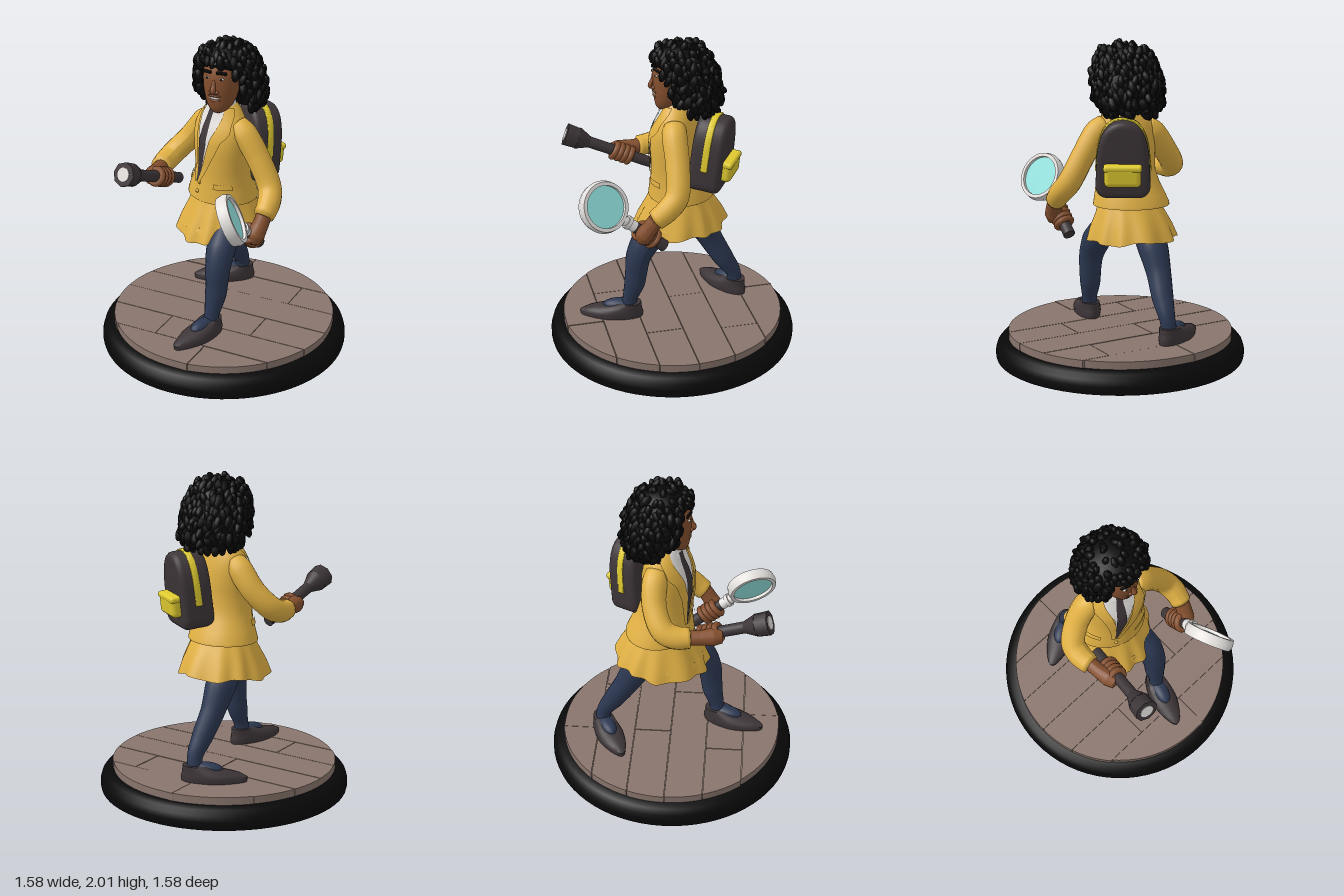
import * as THREE from 'three';
import { mergeGeometries, toCreasedNormals } from 'three/addons/utils/BufferGeometryUtils.js';
import { RoundedBoxGeometry } from 'three/addons/geometries/RoundedBoxGeometry.js';

const V = (x, y, z) => new THREE.Vector3(x, y, z);
const mat = (name, color, side = THREE.FrontSide) => {
  const m = new THREE.MeshStandardMaterial({ color, side });
  m.name = name;
  return m;
};

// Repeatable random numbers
let seed = 7;
const rnd = () => (seed = (seed * 16807) % 2147483647) / 2147483647;

// Linear sample of horizontal sections [y, cx, cz, rx, rz] at height y
function sectionAt(secs, y) {
  let i = 0;
  while (i < secs.length - 2 && y > secs[i + 1][0]) i++;
  const t = THREE.MathUtils.clamp((y - secs[i][0]) / (secs[i + 1][0] - secs[i][0]), 0, 1);
  return secs[i].map((v, k) => v + (secs[i + 1][k] - v) * t);
}
// Point on an elliptical section, a = 0 at the front
function ringPoint([y, cx, cz, rx, rz], a, yaw = 0, off = 0) {
  const x = (rx + off) * Math.sin(a), z = (rz + off) * Math.cos(a);
  return V(cx + x * Math.cos(yaw) + z * Math.sin(yaw), y, cz - x * Math.sin(yaw) + z * Math.cos(yaw));
}
// Surface through a grid of points
function gridGeometry(rows, wrap) {
  const n = rows[0].length, pos = [], idx = [];
  rows.forEach(r => r.forEach(p => pos.push(p.x, p.y, p.z)));
  for (let i = 0; i < rows.length - 1; i++)
    for (let j = 0; j < (wrap ? n : n - 1); j++) {
      const a = i * n + j, b = i * n + (j + 1) % n;
      idx.push(a, b, b + n, a, b + n, a + n);
    }
  const g = new THREE.BufferGeometry();
  g.setAttribute('position', new THREE.Float32BufferAttribute(pos, 3));
  g.setIndex(idx);
  g.computeVertexNormals();
  return g;
}
// Body through horizontal sections, optionally capped and warped
function loft(secs, { seg = 32, yaw = 0, cap = true, warp = null } = {}) {
  const end = s => [s[0], s[1], s[2], 0.0005, 0.0005];
  const all = cap ? [end(secs[0]), ...secs, end(secs[secs.length - 1])] : secs;
  const rows = all.map((s, i) => Array.from({ length: seg }, (_, j) => {
    const a = j / seg * Math.PI * 2, p = ringPoint(s, a, yaw);
    return warp ? warp(p, a, i / (all.length - 1), s) : p;
  }));
  const g = gridGeometry(rows, true);
  return cap ? toCreasedNormals(g, 1) : g;
}
// Tapered limb along points [x, y, z, radius]
function limb(pts, n = 32, seg = 16) {
  const curve = new THREE.CatmullRomCurve3(pts.map(p => V(p[0], p[1], p[2])));
  const g = new THREE.TubeGeometry(curve, n, 1, seg, false), pos = g.attributes.position, p = V();
  for (let i = 0; i <= n; i++) {
    const c = curve.getPointAt(i / n), t = curve.getUtoTmapping(i / n) * (pts.length - 1);
    const k = Math.min(Math.floor(t), pts.length - 2);
    const r = i === 0 || i === n ? 0.001 : THREE.MathUtils.lerp(pts[k][3], pts[k + 1][3], t - k);
    for (let j = 0; j <= seg; j++) {
      const q = i * (seg + 1) + j;
      p.fromBufferAttribute(pos, q).sub(c).multiplyScalar(r).add(c);
      pos.setXYZ(q, p.x, p.y, p.z);
    }
  }
  g.computeVertexNormals();
  return g;
}
const ball = (x, y, z, rx, ry, rz, w = 20, h = 14) => new THREE.SphereGeometry(1, w, h).scale(rx, ry, rz).translate(x, y, z);
const rod = (rTop, rBot, y0, y1, seg = 24) => new THREE.CylinderGeometry(rTop, rBot, y1 - y0, seg).translate(0, (y0 + y1) / 2, 0);

export function createModel() {
  const model = new THREE.Group();
  const D = THREE.DoubleSide;
  const skin = mat('skin', 0x85502f), yellow = mat('jacket yellow', 0xe0b044, D), bagYellow = mat('bag yellow', 0xe0cb30),
    black = mat('black', 0x080808), charcoal = mat('charcoal', 0x3d3538, D), navy = mat('navy', 0x2c3852),
    wood = mat('wood', 0x89756d), white = mat('white', 0xe2dfdc, D), teal = mat('lens teal', 0x92e4e0, D);
  const add = (name, geo, m, parent = model) => {
    const mesh = new THREE.Mesh(geo, m);
    mesh.name = name;
    parent.add(mesh);
    return mesh;
  };
  const group = name => { const g = new THREE.Group(); g.name = name; model.add(g); return g; };

  // Round base
  const rim = [[0, 0], [0.785, 0], [0.79, 0.02], [0.79, 0.05], [0.78, 0.085], [0.755, 0.115], [0.72, 0.13], [0, 0.13]];
  add('base', toCreasedNormals(new THREE.LatheGeometry(rim.map(p => new THREE.Vector2(...p)), 72), 0.7), black);
  add('floorDisc', new THREE.CylinderGeometry(0.7, 0.7, 0.04, 64).translate(0, 0.15, 0), wood);

  // Floor planks, each split by one joint
  const joints = [0.1, -0.25, 0.3, -0.1, 0.35, -0.1], planks = [];
  joints.forEach((joint, i) => {
    const z0 = -0.71 + i * 0.2367 + 0.002, z1 = z0 + 0.2327;
    for (const s of [-1, 1]) {
      const R = 0.705 + rnd() * 0.008, shape = new THREE.Shape(), edge = joint + s * 0.002;
      const phi = z => Math.asin(THREE.MathUtils.clamp(z / R, -1, 1));
      shape.moveTo(edge, R * Math.sin(phi(z0)));
      for (let k = 0; k <= 14; k++) {
        const f = phi(z0) + (phi(z1) - phi(z0)) * k / 14;
        shape.lineTo(s * Math.max(R * Math.cos(f), s * edge + 0.001), R * Math.sin(f));
      }
      shape.lineTo(edge, R * Math.sin(phi(z1)));
      planks.push(new THREE.ExtrudeGeometry(shape, { depth: 0.046 + rnd() * 0.003, bevelEnabled: false }).rotateX(-Math.PI / 2).translate(0, 0.131, 0));
    }
  });
  add('planks', mergeGeometries(planks), wood);

  // Legs and shoes
  add('leftLeg', limb([[0.04, 0.9, 0.03, 0.07], [0.065, 0.79, 0.115, 0.085], [0.07, 0.71, 0.185, 0.092], [0.075, 0.61, 0.236, 0.079], [0.075, 0.5, 0.252, 0.07], [0.07, 0.42, 0.262, 0.067], [0.06, 0.31, 0.29, 0.047], [0.05, 0.22, 0.3, 0.048]]), navy);
  add('rightLeg', limb([[-0.1, 0.9, -0.1, 0.08], [-0.115, 0.78, -0.165, 0.095], [-0.115, 0.71, -0.215, 0.095], [-0.11, 0.58, -0.285, 0.077], [-0.09, 0.44, -0.365, 0.067], [-0.08, 0.32, -0.437, 0.048], [-0.092, 0.22, -0.445, 0.048]]), navy);
  const shoeSecs = [[0, 0, 0, 0.08, 0.2], [0.03, 0, 0, 0.086, 0.205], [0.05, 0, -0.015, 0.082, 0.182], [0.07, 0, -0.065, 0.072, 0.13], [0.1, 0, -0.11, 0.061, 0.082]];
  for (const [name, x, z, yaw] of [['leftShoe', 0.02, 0.405, -0.3], ['rightShoe', -0.19, -0.39, -1.06]]) {
    const foot = group(name);
    add('shoe', loft(shoeSecs, { warp: p => V(p.x * (1 - 1.6 * Math.max(0, p.z - 0.02)), p.y, p.z) }), charcoal, foot);
    add('instep', ball(0, 0.07, -0.055, 0.053, 0.047, 0.11), navy, foot);
    foot.position.set(x, 0.178, z);
    foot.rotation.y = yaw;
  }

  // Pleated skirt with a lining
  const skirtSecs = [[0.765, -0.045, -0.06, 0.275, 0.295], [0.85, -0.04, -0.06, 0.252, 0.262], [0.94, -0.035, -0.06, 0.215, 0.212], [1.04, -0.03, -0.05, 0.18, 0.16]];
  add('skirt', loft(skirtSecs, {
    seg: 96, cap: false, warp: (p, a, t, s) => {
      const k = 1 + 0.045 * (1 - t) * Math.sin(11 * a + Math.sin(3 * a));
      return V(s[1] + (p.x - s[1]) * k, p.y + (1 - t) * (0.022 * -Math.cos(a) + 0.01 * Math.sin(5 * a)), s[2] + (p.z - s[2]) * k);
    }
  }), yellow);
  add('skirtLining', loft([[0.805, -0.043, -0.06, 0.255, 0.27], [0.83, -0.043, -0.06, 0.245, 0.258]]), yellow);

  // Jacket body, turned a little to the right
  const yaw = -0.42;
  const jacketSecs = [[0.985, -0.04, -0.07, 0.238, 0.207], [1.0, -0.04, -0.07, 0.236, 0.205], [1.06, -0.035, -0.06, 0.218, 0.188], [1.12, -0.03, -0.045, 0.198, 0.168], [1.2, -0.025, -0.03, 0.183, 0.152],
    [1.3, -0.02, -0.025, 0.186, 0.154], [1.4, -0.02, -0.025, 0.192, 0.147], [1.47, -0.02, -0.03, 0.184, 0.127], [1.52, -0.02, -0.035, 0.158, 0.108], [1.57, -0.015, -0.035, 0.115, 0.092], [1.605, -0.015, -0.03, 0.08, 0.078]];
  add('jacket', loft(jacketSecs, { seg: 48, yaw, cap: false }), yellow);
  add('jacketHem', loft([[0.985, -0.04, -0.07, 0.2, 0.18], [0.986, -0.04, -0.07, 0.238, 0.207]], { seg: 48, yaw, cap: false }), yellow);
  // Thin panel lying on the jacket, rows are [y, angle, angle] from the top down
  const panel = (name, rows, off, m) => {
    const up = rows.slice().reverse(), n = 18, y0 = up[0][0], y1 = up[up.length - 1][0];
    add(name, gridGeometry(Array.from({ length: n + 1 }, (_, i) => {
      const r = sectionAt(up, y0 + (y1 - y0) * i / n), s = sectionAt(jacketSecs, r[0]);
      return Array.from({ length: 9 }, (_, j) => ringPoint(s, r[1] + (r[2] - r[1]) * j / 8, yaw, off));
    })), m);
  };
  panel('shirt', [[1.6, -1, 1], [1.5, -0.5, 0.55], [1.4, -0.27, 0.25], [1.12, -0.17, -0.11]], 0.005, white);
  panel('tie', [[1.575, -0.18, 0.18], [1.54, -0.13, 0.13], [1.35, -0.2, 0.12], [1.16, -0.24, -0.05], [1.1, -0.16, -0.14]], 0.01, charcoal);
  panel('leftLapel', [[1.595, 0.85, 1.5], [1.5, 0.5, 1.0], [1.44, 0.34, 0.95], [1.42, 0.29, 0.72], [1.3, 0.13, 0.45], [1.1, -0.13, -0.04]], 0.013, yellow);
  panel('rightLapel', [[1.595, -1.5, -0.85], [1.5, -0.95, -0.47], [1.44, -0.88, -0.34], [1.42, -0.68, -0.31], [1.3, -0.5, -0.22], [1.1, -0.26, -0.17]], 0.013, yellow);
  panel('leftPocketFlap', [[1.12, 0.5, 1.1], [1.085, 0.48, 1.12]], 0.009, yellow);
  panel('rightPocketFlap', [[1.12, -1.1, -0.6], [1.085, -1.12, -0.58]], 0.009, yellow);
  for (const y of [1.1, 1.04]) {
    const p = ringPoint(sectionAt(jacketSecs, y), -0.08, yaw);
    add('button', ball(p.x, p.y, p.z, 0.012, 0.012, 0.012, 10, 8), yellow);
  }

  // Sleeves and wrists
  add('rightSleeve', limb([[-0.12, 1.48, -0.075, 0.065], [-0.18, 1.43, -0.09, 0.078], [-0.275, 1.31, -0.085, 0.074], [-0.365, 1.205, -0.025, 0.073], [-0.38, 1.175, 0.05, 0.071], [-0.37, 1.17, 0.15, 0.062]]), yellow);
  add('leftSleeve', limb([[0.08, 1.49, 0.005, 0.065], [0.15, 1.44, 0.02, 0.078], [0.245, 1.3, 0.025, 0.074], [0.335, 1.13, 0.05, 0.074], [0.36, 1.06, 0.115, 0.071], [0.355, 0.99, 0.2, 0.062]]), yellow);
  add('rightWrist', limb([[-0.37, 1.17, 0.12, 0.045], [-0.365, 1.17, 0.19, 0.045], [-0.35, 1.17, 0.27, 0.055], [-0.34, 1.17, 0.33, 0.04]]), skin);
  add('leftWrist', limb([[0.36, 1.01, 0.18, 0.048], [0.35, 0.95, 0.22, 0.05], [0.335, 0.9, 0.25, 0.058], [0.325, 0.85, 0.26, 0.04]]), skin);

  // Tool frame: y along the tool, fingers curl round it
  const place = (g, origin, yAxis, zHint) => {
    const y = yAxis.normalize(), x = V().crossVectors(y, zHint).normalize();
    g.quaternion.setFromRotationMatrix(new THREE.Matrix4().makeBasis(x, y, V().crossVectors(x, y)));
    g.position.copy(origin);
  };
  const fingers = (g, y0, r) => add('fingers', mergeGeometries([0, 1, 2, 3].map(i =>
    new THREE.TorusGeometry(r, 0.02, 8, 20).rotateX(Math.PI / 2 + 0.12).translate(0, y0 + i * 0.033, 0))), skin, g);

  // Torch
  const torch = group('torch');
  place(torch, V(-0.275, 1.09, 0.08), V(-0.085, 0.21, 0.52), V(0, 1, 0));
  add('torchHandle', rod(0.036, 0.034, 0, 0.43), charcoal, torch);
  add('torchNeck', rod(0.07, 0.036, 0.41, 0.49), charcoal, torch);
  add('torchHead', rod(0.075, 0.07, 0.49, 0.57, 8), charcoal, torch);
  add('torchLens', rod(0.042, 0.042, 0.565, 0.574), white, torch);
  fingers(torch, 0.14, 0.045);

  // Magnifying glass
  const glass = group('magnifier');
  place(glass, V(0.292, 1.095, 0.488), V(-0.01, 0.64, 0.77), V(0.85, 0.4, -0.35));
  const ring = [[0.128, -0.035], [0.15, -0.035], [0.159, 0], [0.15, 0.035], [0.128, 0.035], [0.128, -0.035]];
  add('lensRing', toCreasedNormals(new THREE.LatheGeometry(ring.map(p => new THREE.Vector2(...p)), 48).rotateX(Math.PI / 2), 0.7), white, glass);
  add('lens', new THREE.CylinderGeometry(0.13, 0.13, 0.03, 40).rotateX(Math.PI / 2), teal, glass);
  add('ferrule', rod(0.03, 0.036, -0.24, -0.15), white, glass);
  add('ferruleCollar', rod(0.042, 0.042, -0.2, -0.175), white, glass);
  add('magnifierHandle', rod(0.033, 0.038, -0.48, -0.24), charcoal, glass);
  fingers(glass, -0.385, 0.048);

  // Backpack
  const pack = group('backpack');
  pack.position.set(0.1, 1.08, -0.21);
  pack.rotation.set(0.1, 2.58, 0, 'YXZ');
  const arch = (w, y0, h, r) => {
    const s = new THREE.Shape();
    s.moveTo(-w + r, y0).lineTo(w - r, y0).quadraticCurveTo(w, y0, w, y0 + r).lineTo(w * 0.94, h * 0.58);
    s.bezierCurveTo(w * 0.85, h * 0.86, w * 0.55, h, 0, h).bezierCurveTo(-w * 0.55, h, -w * 0.85, h * 0.86, -w * 0.94, h * 0.58);
    s.lineTo(-w, y0 + r).quadraticCurveTo(-w, y0, -w + r, y0);
    return s;
  };
  const slab = (shape, depth, bevel) => toCreasedNormals(new THREE.ExtrudeGeometry(shape, { depth, bevelSize: bevel, bevelThickness: bevel, bevelSegments: 4, curveSegments: 14 }).translate(0, 0, -depth / 2), 0.7);
  add('packBody', slab(arch(0.13, 0.035, 0.435, 0.04), 0.13, 0.035), charcoal, pack);
  add('packPiping', slab(arch(0.164, 0.155, 0.472, 0.01), 0.03, 0.006), bagYellow, pack);
  add('packPocket', new RoundedBoxGeometry(0.22, 0.13, 0.085, 4, 0.03).translate(0, 0.15, 0.113), bagYellow, pack);
  add('packPocketFlap', new RoundedBoxGeometry(0.23, 0.04, 0.088, 3, 0.018).translate(0, 0.2, 0.115), bagYellow, pack);

  // Neck, collar and head
  add('neck', new THREE.CylinderGeometry(0.058, 0.065, 0.16, 24).translate(-0.012, 1.58, -0.02), skin);
  add('collar', loft([[1.555, -0.018, -0.02, 0.1, 0.092], [1.625, -0.012, -0.025, 0.07, 0.068]], { cap: false, yaw: -0.2 }), white);
  add('head', loft([[1.572, -0.01, 0.055, 0.03, 0.03], [1.588, -0.01, 0.05, 0.055, 0.048], [1.62, -0.01, 0.03, 0.08, 0.076], [1.66, -0.01, 0.018, 0.097, 0.094], [1.71, -0.01, 0.012, 0.108, 0.105],
    [1.78, -0.01, 0.01, 0.113, 0.11], [1.85, -0.01, 0.002, 0.107, 0.107], [1.91, -0.01, -0.01, 0.08, 0.08]]), skin);
  add('nose', mergeGeometries([limb([[-0.01, 1.79, 0.108, 0.012], [-0.01, 1.755, 0.118, 0.013], [-0.01, 1.722, 0.13, 0.018], [-0.01, 1.708, 0.12, 0.014]], 16, 12),
    ball(-0.03, 1.714, 0.116, 0.013, 0.011, 0.014), ball(0.01, 1.714, 0.116, 0.013, 0.011, 0.014)]), skin);
  add('lips', mergeGeometries([ball(-0.01, 1.687, 0.107, 0.044, 0.008, 0.013), ball(-0.01, 1.658, 0.104, 0.036, 0.01, 0.013)]), skin);
  add('teeth', ball(-0.01, 1.673, 0.107, 0.036, 0.008, 0.01), white);
  for (const s of [-1, 1]) {
    const x = -0.01 + s * 0.046;
    add('eye', ball(x, 1.797, 0.105, 0.018, 0.007, 0.009), white);
    add('pupil', ball(x, 1.797, 0.112, 0.008, 0.007, 0.004, 12, 8), black);
    add('eyebrow', new RoundedBoxGeometry(0.064, 0.019, 0.012, 2, 0.005).rotateZ(-s * 0.12).rotateY(s * 0.4).translate(x, 1.834, 0.106), black);
  }

  // Curly hair: a core covered with drooping curls, open around the face
  const hairSecs = [[1.57, 0, -0.14, 0.15, 0.12], [1.63, 0, -0.125, 0.2, 0.155], [1.7, 0, -0.1, 0.212, 0.185], [1.8, 0, -0.075, 0.2, 0.192], [1.88, 0, -0.052, 0.17, 0.178], [1.935, 0, -0.05, 0.12, 0.135], [1.965, 0, -0.055, 0.05, 0.055]];
  add('hairCore', loft(hairSecs.map(([y, x, z, rx, rz]) => y > 1.85 ? [y + 0.008, x, z, rx, rz] : [y, x, z - 0.045, rx - 0.005, rz - 0.035])), black);
  const curls = [], m4 = new THREE.Matrix4();
  for (let row = 0; row < 13; row++) {
    const y = 1.575 + row * 0.0322, s = sectionAt(hairSecs, y), count = Math.max(5, Math.round((s[3] + s[4]) * 66));
    for (let k = 0; k < count; k++) {
      const a = (k + (row % 2) / 2 + (rnd() - 0.5) * 0.6) / count * Math.PI * 2 - Math.PI;
      if (y < 1.87 && Math.abs(a) < 0.66 + (y < 1.66 ? 0.35 : 0)) continue;
      const p = ringPoint(s, a, 0, (rnd() - 0.4) * 0.018), size = 0.85 + rnd() * 0.4;
      const q = new THREE.Quaternion().setFromEuler(new THREE.Euler((rnd() - 0.5) * 0.9 - 0.3 * Math.cos(a), rnd() * 3, (rnd() - 0.5) * 0.9));
      m4.compose(p, q, V(0.023, 0.042, 0.023).multiplyScalar(size));
      curls.push(new THREE.SphereGeometry(1, 8, 6).applyMatrix4(m4));
    }
  }
  add('curls', mergeGeometries(curls), black);
  return model;
}
